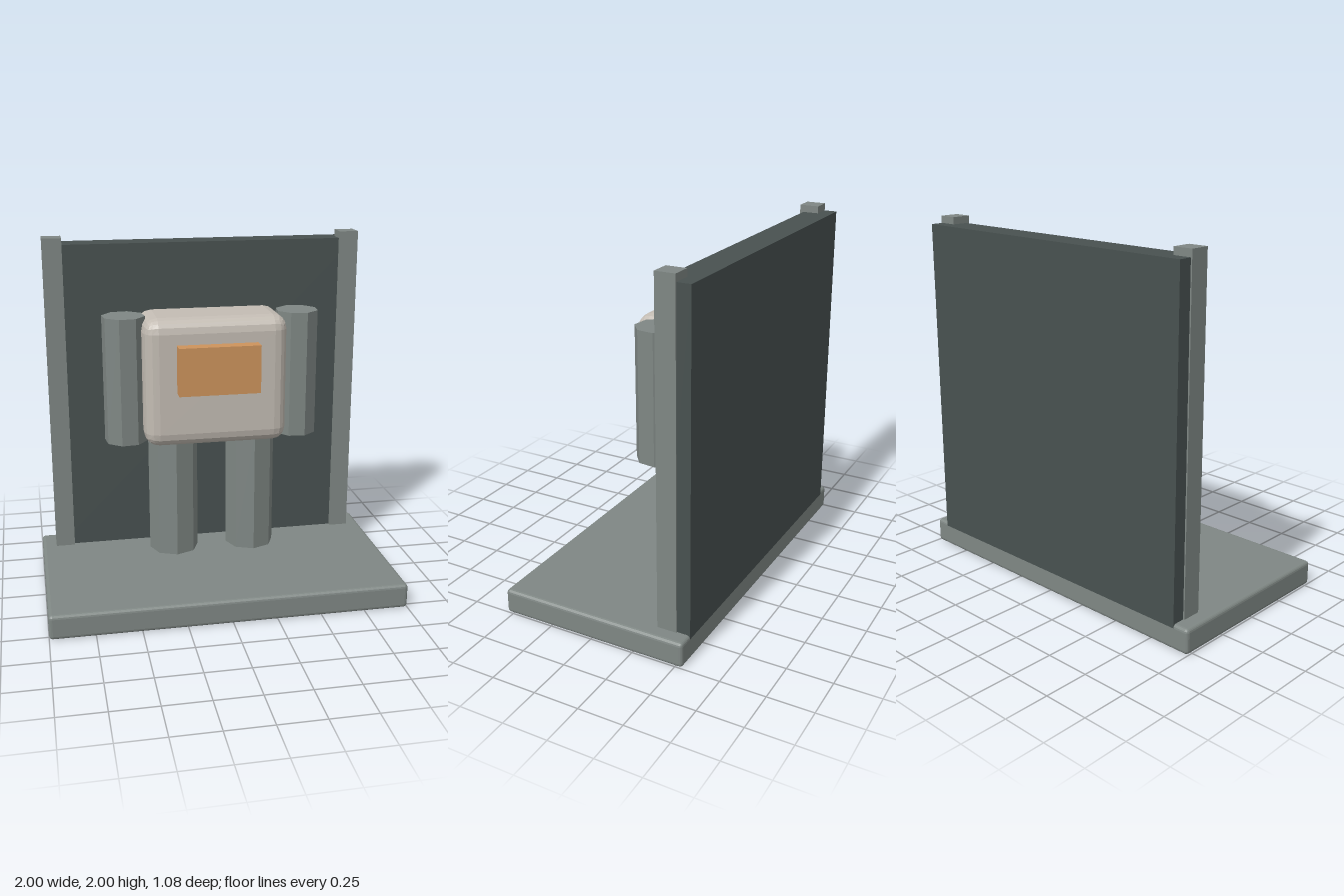
import * as THREE from 'three';
import { RoundedBoxGeometry } from 'three/addons/geometries/RoundedBoxGeometry.js';

function material(name, color) {
  const m = new THREE.MeshStandardMaterial({ color, flatShading: true });
  m.name = name;
  return m;
}

export function createModel() {
  const steel = material('steel grey', 0x7f8784);
  const dark = material('dark grey', 0x485150);
  const shell = material('warm off-white', 0xc3bcb3);
  const orange = material('orange', 0xcd935c);

  const model = new THREE.Group();
  model.name = 'displayStandFigure';

  const add = (name, geometry, mat, x, y, z) => {
    const mesh = new THREE.Mesh(geometry, mat);
    mesh.name = name;
    mesh.position.set(x, y, z);
    model.add(mesh);
    return mesh;
  };

  // Stand: base slab and back panel
  add('base', new RoundedBoxGeometry(2, 0.14, 1.08, 2, 0.02), steel, 0, 0.07, 0);
  add('backPanel', new THREE.BoxGeometry(1.82, 1.84, 0.165), dark, 0, 1.04, -0.4575);

  // Figure: torso and chest plate
  add('torso', new RoundedBoxGeometry(0.81, 0.73, 0.405, 2, 0.08), shell, 0, 1.235, -0.135);
  add('chestPlate', new THREE.BoxGeometry(0.456, 0.27, 0.1), orange, 0, 1.325, 0.095);

  // Mirrored posts, arms and legs
  for (const [side, s] of [['left', 1], ['right', -1]]) {
    add(side + 'Post', new THREE.BoxGeometry(0.11, 1.88, 0.11), steel, s * 0.863, 1.06, -0.41);
    const arm = add(side + 'Arm', new THREE.CylinderGeometry(0.123, 0.123, 0.725, 8), steel,
      s * 0.497, 1.2325, -0.138);
    arm.rotation.y = s * 0.28;
    add(side + 'Leg', new THREE.CylinderGeometry(0.143, 0.143, 0.72, 8), steel,
      s * 0.228, 0.55, -0.135);
  }

  return model;
}
